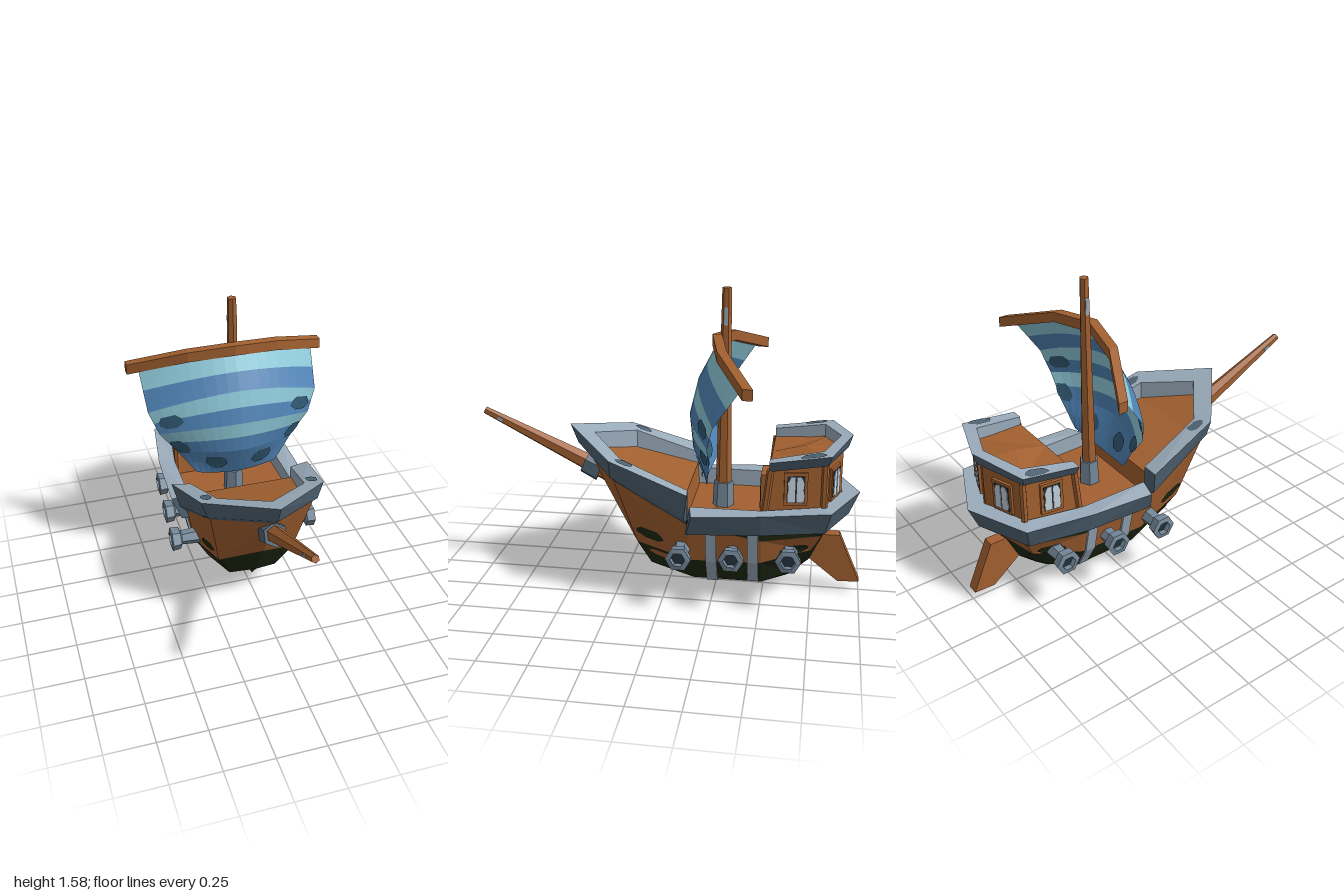
import * as THREE from 'three';

const { lerp } = THREE.MathUtils;
const mat = (name, color) => {
  const m = new THREE.MeshStandardMaterial({ color, flatShading: true, side: THREE.DoubleSide });
  m.name = name;
  return m;
};

export function createModel() {
  const wood = mat('wood', 0xa26030);
  const mossyWood = mat('mossy wood', 0x1f2813);
  const railTop = mat('rail top', 0x9aabba);
  const railSide = mat('rail side', 0x506474);
  const metal = mat('metal', 0x748899);
  const dark = mat('dark', 0x22303a);
  const pane = mat('window pane', 0xc6d2de);
  const sailLight = mat('sail light', 0x8ecada);
  const sailBlue = mat('sail blue', 0x5084b6);
  const sailStain = mat('sail stain', 0x325a74);

  const ship = new THREE.Group();
  ship.name = 'ship';
  const group = (name, parent = ship) => {
    const g = new THREE.Group();
    g.name = name;
    parent.add(g);
    return g;
  };
  const add = (name, geo, material, parent = ship) => {
    const m = new THREE.Mesh(geo, material);
    m.name = name;
    parent.add(m);
    return m;
  };

  // Faceted skin between rows of points on the +x half, mirrored to -x
  const skin = (name, rows, material, parent = ship) => {
    const pos = [];
    const tri = (...p) => {
      p.forEach(v => pos.push(...v));
      p.reverse().forEach(v => pos.push(-v[0], v[1], v[2]));
    };
    for (let r = 0; r < rows.length - 1; r++) for (let c = 0; c < rows[r].length - 1; c++) {
      const a = rows[r][c], b = rows[r][c + 1], d = rows[r + 1][c], e = rows[r + 1][c + 1];
      tri(a, d, e);
      tri(a, e, b);
    }
    const geo = new THREE.BufferGeometry();
    geo.setAttribute('position', new THREE.Float32BufferAttribute(pos, 3));
    geo.computeVertexNormals();
    return add(name, geo, material, parent);
  };

  // Ragged thin patch laid over a surface given as point(down, along)
  const patch = (name, point, f0, f1, t0, t1, material) => skin(name, [.25, .04, 0, .3].map((cut, i) =>
    [0, .25, .5, .75, 1].map(k => point(lerp(f0, f1, i / 3), lerp(t0, t1, lerp(cut, 1 - cut * .7, k))))), material);
  // Point just above one cell of a skin
  const cell = (top, bottom, c) => {
    const [a, b, d, e] = [top[c], top[c + 1], bottom[c], bottom[c + 1]].map(p => new THREE.Vector3(...p));
    const n = e.clone().sub(a).cross(b.clone().sub(d)).normalize().multiplyScalar(.005);
    return (f, t) => {
      const mid = t <= f ? d : b;
      return a.clone().addScaledVector(mid.clone().sub(a), t <= f ? f : t)
        .addScaledVector(e.clone().sub(mid), t <= f ? t : f).add(n).toArray();
    };
  };

  // Four-cornered beam: rows are inner bottom, inner top, outer top, outer bottom
  const beam = (name, [ib, it, ot, ob], top, side) => {
    const g = group(name);
    skin('upperFaces', [ib, it, ot], top, g);
    skin('lowerFaces', [ot, ob, ib], side, g);
    for (const i of [0, ib.length - 1]) {
      if (it[i][0] > 0) skin('endFace', [[ib[i], it[i]], [ob[i], ot[i]]], side, g);
    }
  };

  const rod = (name, a, b, ra, rb, material, parent = ship) => {
    const A = new THREE.Vector3(...a), B = new THREE.Vector3(...b);
    const dir = B.clone().sub(A);
    const m = add(name, new THREE.CylinderGeometry(rb, ra, dir.length(), 6), material, parent);
    m.position.copy(A).add(B).multiplyScalar(0.5);
    m.quaternion.setFromUnitVectors(new THREE.Vector3(0, 1, 0), dir.normalize());
    return m;
  };

  // Hull, bow to stern, with a damp band under the aft rail and moss patches
  const sheer = [[0, .70, .44], [.275, .66, .25], [.31, .47, -.13], [.30, .43, -.5], [.25, .44, -.82], [0, .45, -.89]];
  const waist = [[0, .40, .27], [.205, .29, .14], [.262, .23, -.14], [.262, .24, -.5], [.195, .30, -.75], [0, .33, -.82]];
  const chine = [[0, .18, .14], [.13, .14, .08], [.19, .10, -.15], [.19, .10, -.5], [.12, .13, -.64], [0, .16, -.74]];
  const keel = [[0, .10, .07], [0, .075, -.02], [0, .01, -.23], [0, .03, -.45], [0, .06, -.63], [0, .06, -.63]];
  const damp = sheer.map((p, i) => p.map((v, k) => lerp(v, waist[i][k], [0, 0, .12, .32, .32, .32][i])));
  skin('dampBand', [sheer.slice(1), damp.slice(1)], mossyWood);
  skin('upperHull', [damp, waist], wood);
  skin('lowerHull', [waist, chine, keel], mossyWood);
  patch('mossPatch', cell(damp, waist, 1), .7, .86, .08, .6, mossyWood);
  patch('mossPatch', cell(damp, waist, 3), .5, .95, .35, .9, mossyWood);
  patch('barePatch', cell(waist, chine, 1), .08, .4, .2, .75, wood);

  // Rails
  const fore = [
    [[0, .66, .40], [.23, .60, .22], [.28, .42, -.13]],
    [[0, .80, .40], [.23, .745, .22], [.28, .615, -.13]],
    [[0, .84, .53], [.32, .76, .26], [.38, .625, -.14]],
    [[0, .74, .49], [.29, .665, .26], [.345, .49, -.12]],
  ];
  beam('foreRail', fore, railTop, railSide);
  patch('railWear', cell(fore[1], fore[2], 1), .2, .75, .01, .22, railSide);
  beam('mainRail', [
    [[.285, .40, -.12], [.28, .41, -.5], [.24, .42, -.78], [0, .42, -.88]],
    [[.285, .53, -.14], [.28, .53, -.5], [.24, .55, -.78], [0, .55, -.89]],
    [[.38, .515, -.16], [.37, .535, -.5], [.32, .55, -.84], [0, .55, -.98]],
    [[.335, .40, -.13], [.335, .42, -.5], [.28, .43, -.81], [0, .43, -.93]],
  ], railTop, railSide);
  const aft = [
    [[.245, .73, -.53], [.215, .77, -.79], [0, .78, -.87]],
    [[.245, .79, -.53], [.215, .835, -.79], [0, .85, -.87]],
    [[.305, .79, -.53], [.295, .835, -.83], [0, .855, -.93]],
    [[.275, .735, -.53], [.262, .775, -.81], [0, .79, -.91]],
  ];
  beam('cabinRail', aft, railTop, railSide);
  patch('railWear', cell(aft[1], aft[2], 0), .3, .95, .5, .95, railSide);

  // Decks
  skin('foreDeck', [
    [[0, .72, .41], [0, .65, .22], [0, .56, -.11]],
    [[0, .72, .41], [.24, .65, .22], [.29, .56, -.11]],
  ], wood);
  skin('foreDeckStep', [[[0, .56, -.11], [.29, .56, -.11]], [[0, .42, -.12], [.29, .42, -.12]]], wood);
  skin('mainDeck', [
    [[0, .44, -.11], [0, .44, -.5], [0, .44, -.8], [0, .44, -.89]],
    [[.29, .44, -.11], [.29, .44, -.5], [.25, .44, -.8], [0, .44, -.89]],
  ], wood);

  // Stern cabin
  const cabin = group('cabin');
  skin('walls', [
    [[0, .745, -.53], [.262, .745, -.53], [.23, .785, -.8], [0, .795, -.885]],
    [[0, .43, -.5], [.268, .43, -.5], [.232, .43, -.8], [0, .43, -.885]],
  ], wood, cabin);
  skin('roof', [
    [[0, .745, -.53], [0, .79, -.7], [0, .79, -.88]],
    [[.262, .745, -.53], [.23, .765, -.8], [0, .79, -.88]],
  ], wood, cabin);
  const door = add('door', new THREE.BoxGeometry(.14, .2, .035), wood, cabin);
  door.position.set(0, .54, -.495);
  add('doorPanel', new THREE.BoxGeometry(.09, .16, .005), dark, door).position.set(0, -.01, .019);

  // Cabin windows, facing local +z: two tall pinched panes each
  const paneShape = new THREE.Shape([[.004, -.064], [.038, -.064], [.042, -.03], [.036, 0], [.04, .035], [.026, .066], [.004, .066]]
    .map(p => new THREE.Vector2(...p)));
  const paneGeo = new THREE.ExtrudeGeometry(paneShape, { depth: .004, bevelEnabled: false });
  const windowAt = (x, y, z, angle) => {
    const w = group('window', cabin);
    w.position.set(x, y, z);
    w.rotation.y = angle;
    add('frame', new THREE.BoxGeometry(.115, .17, .026), wood, w);
    add('opening', new THREE.BoxGeometry(.088, .138, .005), dark, w).position.z = .013;
    add('paneRight', paneGeo, pane, w).position.z = .015;
    const left = add('paneLeft', paneGeo, pane, w);
    left.position.z = .019;
    left.rotation.y = Math.PI;
  };
  for (const s of [-1, 1]) {
    rod('frontPost', [s * .262, .44, -.505], [s * .262, .74, -.535], .018, .018, wood, cabin);
    rod('rearPost', [s * .232, .44, -.8], [s * .232, .77, -.8], .018, .018, wood, cabin);
    windowAt(s * .249, .645, -.66, s * (Math.PI / 2 + .12));
    windowAt(s * .118, .645, -.842, Math.PI - s * .35);
  }

  // Slim bands around the hull
  const outer = [[.312, .42], [.272, .23], [.197, .094], [0, 0]];
  const inner = [[.27, .42], [.24, .25], [.17, .12], [0, .05]];
  const flip = pts => pts.slice(0, 3).map(([x, y]) => [-x, y]);
  const outline = [...outer, ...flip(outer).reverse(), ...flip(inner), ...inner.slice().reverse()];
  const bandShape = new THREE.Shape(outline.map(p => new THREE.Vector2(...p)));
  for (const [z, y] of [[-.25, 0], [-.46, .01]]) {
    const band = add('hullBand', new THREE.ExtrudeGeometry(bandShape, { depth: .055, bevelEnabled: false }), railTop);
    band.position.set(0, y, z - .0275);
  }

  // Cannons
  const barrel = [[.05, 0], [.044, .06], [.038, .13], [.06, .14], [.065, .185], [.038, .19], [.036, .16]];
  const barrelGeo = new THREE.LatheGeometry(barrel.map(p => new THREE.Vector2(...p)), 6);
  for (const s of [-1, 1]) for (const [x, z] of [[.22, -.1], [.195, -.36], [.168, -.64]]) {
    const cannon = group('cannon');
    cannon.position.set(s * x, .295, z);
    cannon.rotation.z = -s * Math.PI / 2;
    add('barrel', barrelGeo, metal, cannon);
    add('bore', new THREE.CylinderGeometry(.038, .038, .004, 6), dark, cannon).position.y = .162;
  }

  // Rudder
  const rudderShape = new THREE.Shape([[.8, .315], [.89, .315], [1, .06], [.89, .055], [.72, .19]].map(p => new THREE.Vector2(...p)));
  const rudder = add('rudder', new THREE.ExtrudeGeometry(rudderShape, { depth: .06, bevelEnabled: false }), wood);
  rudder.rotation.y = Math.PI / 2;
  rudder.position.x = -.03;

  // Mast, bowsprit and yard, with pale worn marks near the tips
  const mast = rod('mast', [0, .43, -.28], [0, 1.58, -.28], .042, .023, wood);
  rod('mastCollar', [0, .43, -.28], [0, .57, -.28], .056, .05, metal);
  const bowsprit = rod('bowsprit', [0, .58, .33], [0, .893, .99], .052, .02, wood);
  rod('bowspritCollar', [0, .595, .37], [0, .635, .455], .07, .064, railSide);
  for (const [spar, y, length] of [[mast, .435, .09], [bowsprit, .27, .03]]) for (const s of [-1, 1]) {
    add('wornMark', new THREE.BoxGeometry(.005, length, .018), railTop, spar).position.set(s * .0215, y, 0);
  }
  const yardRow = (dy, dz) => [[0, 1.318, -.235], [.24, 1.29, -.285], [.53, 1.19, -.435]]
    .map(([x, y, z]) => [x, y + dy * .027, z + dz * .024]);
  beam('yard', [yardRow(-1, -1), yardRow(1, -1), yardRow(1, 1), yardRow(-1, 1)], wood, wood);

  // Billowing striped sail; controls run top to bottom
  const width = [.472, .458, .41, .32, .22];
  const edgeY = [1.195, 1.0, .88, .76, .62], edgeZ = [-.40, -.27, -.24, -.24, -.22];
  const midY = [1.30, 1.12, .95, .78, .60], midZ = [-.235, -.145, -.105, -.12, -.20];
  const at = (list, v) => {
    const i = Math.min(3, Math.floor(v * 4));
    return lerp(list[i], list[i + 1], v * 4 - i);
  };
  const sailPoint = (v, u, lift = 0) => {
    const k = u ** 1.8;
    return [u * at(width, v), lerp(at(midY, v), at(edgeY, v), k), lerp(at(midZ, v), at(edgeZ, v), k) + lift];
  };
  const sailRow = v => Array.from({ length: 9 }, (_, i) => sailPoint(v, i / 8));
  for (let i = 0; i < 8; i++) {
    skin('sailStripe', [sailRow(i / 8), sailRow((i + 1) / 8)], i % 2 === 1 || i > 5 ? sailBlue : sailLight);
  }
  for (const lift of [.006, -.006]) for (const box of [[.33, .45, .68, .95], [.6, .76, .78, 1], [.8, .93, .25, .65]]) {
    patch('sailStain', (v, u) => sailPoint(v, u, lift), ...box, sailStain);
  }
  return ship;
}
